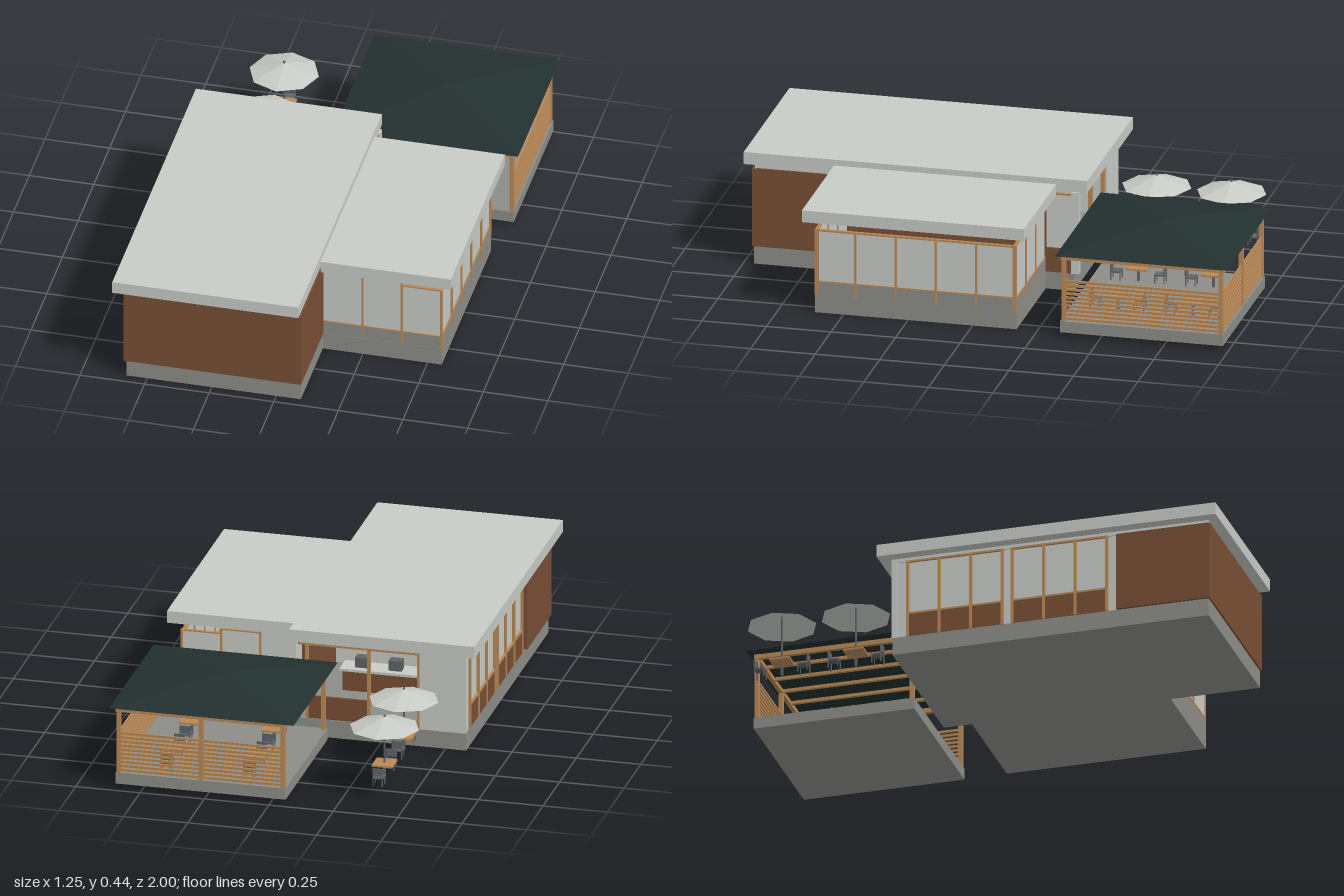
import * as THREE from 'three';

const mat = (name, color) => {
  const m = new THREE.MeshStandardMaterial({ color, flatShading: true, side: THREE.DoubleSide });
  m.name = name;
  return m;
};

export function createModel() {
  const light = mat('pale grey', 0xc7cac5);
  const stone = mat('stone grey', 0x8c8d88);
  const brown = mat('brown cladding', 0x774e34);
  const wood = mat('light wood', 0xb88856);
  const dark = mat('dark roof', 0x22302f);
  const metal = mat('chair grey', 0x5f6466);

  const root = new THREE.Group();
  root.name = 'cafe';
  const group = (name, parent = root) => {
    const g = new THREE.Group();
    g.name = name;
    parent.add(g);
    return g;
  };
  // Box given by its lower and upper limits on each axis
  const box = (parent, name, m, x0, x1, y0, y1, z0, z1) => {
    const b = new THREE.Mesh(new THREE.BoxGeometry(x1 - x0, y1 - y0, z1 - z0), m);
    b.position.set((x0 + x1) / 2, (y0 + y1) / 2, (z0 + z1) / 2);
    b.name = name;
    parent.add(b);
    return b;
  };

  // Main hall: base, flat roof, clad front and side walls
  const hall = group('mainHall');
  box(hall, 'hallBase', stone, -0.58, 0.095, 0, 0.07, -0.28, 0.96);
  box(hall, 'hallRoof', light, -0.625, 0.095, 0.395, 0.443, -0.33, 1);
  box(hall, 'frontCladding', brown, -0.59, 0.097, 0.07, 0.38, 0.95, 0.967);
  box(hall, 'frontWallTop', light, -0.58, 0.09, 0.38, 0.395, 0.93, 0.958);
  box(hall, 'leftCladding', brown, 0.075, 0.097, 0.07, 0.382, -0.17, 0.95);
  box(hall, 'leftWallTop', light, 0.075, 0.09, 0.382, 0.395, -0.27, 0.93);
  box(hall, 'rightCladding', brown, -0.59, -0.57, 0.07, 0.38, 0.6, 0.95);
  box(hall, 'rightWallTop', light, -0.58, -0.57, 0.38, 0.395, -0.27, 0.93);

  // Right wall: two banks of windows over brown panels
  box(hall, 'rightWall', light, -0.575, -0.56, 0.07, 0.38, -0.28, 0.6);
  for (const [z0, z1] of [[-0.22, 0.15], [0.19, 0.56]]) {
    const bank = group('windowBank', hall);
    box(bank, 'lowerPanel', brown, -0.581, -0.574, 0.07, 0.16, z0, z1);
    for (const y of [0.16, 0.375]) box(bank, 'windowRail', wood, -0.584, -0.57, y, y + 0.007, z0, z1);
    for (let i = 0; i <= 3; i++) {
      const z = z0 + (z1 - z0) * i / 3;
      box(bank, 'windowPost', wood, -0.585, -0.57, 0.07, 0.382, z - 0.005, z + 0.005);
    }
  }

  // Rear of the hall: wide opening, pillars, corner window
  box(hall, 'rearPillar', light, -0.58, -0.4, 0.07, 0.395, -0.285, -0.26);
  box(hall, 'cornerPost', light, 0.075, 0.103, 0.07, 0.395, -0.3, -0.27);
  box(hall, 'cornerLowWall', brown, 0.08, 0.1, 0.07, 0.165, -0.268, -0.172);
  box(hall, 'cornerPane', light, 0.085, 0.09, 0.165, 0.38, -0.268, -0.172);
  box(hall, 'cornerRail', wood, 0.083, 0.1, 0.38, 0.387, -0.268, -0.172);
  box(hall, 'rearBeam', light, -0.4, 0.075, 0.375, 0.395, -0.28, -0.26);
  box(hall, 'rearRail', wood, -0.4, 0.075, 0.365, 0.375, -0.278, -0.262);
  for (const x of [-0.395, -0.2, 0.04]) box(hall, 'rearPost', wood, x - 0.006, x + 0.006, 0.07, 0.365, -0.278, -0.262);
  box(hall, 'rearLowWall', brown, -0.2, 0.04, 0.07, 0.16, -0.275, -0.265);

  // Serving counter and back wall inside
  box(hall, 'innerWall', light, -0.56, 0.075, 0.07, 0.395, 0.3, 0.31);
  box(hall, 'counter', brown, -0.42, -0.02, 0.07, 0.15, 0.03, 0.1);
  box(hall, 'counterTop', light, -0.43, -0.01, 0.15, 0.16, 0.02, 0.11);
  for (const x of [-0.35, -0.22, -0.09]) box(hall, 'counterMachine', metal, x - 0.025, x + 0.025, 0.16, 0.2, 0.045, 0.085);

  // Glazed wing with window tops stepping down towards its outer side
  const wing = group('wing');
  box(wing, 'wingBase', stone, 0.095, 0.555, 0, 0.07, -0.17, 0.61);
  box(wing, 'wingRoof', light, 0.095, 0.6, 0.373, 0.42, -0.21, 0.65);
  const xs = [0.097, 0.248, 0.4, 0.553], tops = [0.37, 0.353, 0.335];
  for (const z of [0.603, -0.163]) {
    box(wing, 'lowWall', stone, 0.097, 0.554, 0.07, 0.122, z - 0.006, z + 0.006);
    box(wing, 'sill', wood, 0.097, 0.556, 0.122, 0.127, z - 0.007, z + 0.007);
    tops.forEach((top, i) => {
      box(wing, 'pane', light, xs[i], xs[i + 1], 0.127, top - 0.005, z - 0.003, z + 0.003);
      box(wing, 'topRail', wood, xs[i], xs[i + 1], top - 0.005, top, z - 0.006, z + 0.006);
      box(wing, 'post', wood, xs[i + 1] - 0.004, xs[i + 1] + 0.004, 0.07, top, z - 0.008, z + 0.008);
    });
  }
  box(wing, 'sideLowWall', stone, 0.543, 0.555, 0.07, 0.122, -0.157, 0.597);
  box(wing, 'sideSill', wood, 0.542, 0.557, 0.122, 0.127, -0.157, 0.597);
  box(wing, 'sidePane', light, 0.546, 0.552, 0.127, 0.325, -0.157, 0.597);
  box(wing, 'sideTopRail', wood, 0.543, 0.556, 0.325, 0.332, -0.157, 0.597);
  for (let i = 1; i < 5; i++) {
    const z = 0.61 - 0.156 * i;
    box(wing, 'sidePost', wood, 0.541, 0.559, 0.07, 0.33, z - 0.004, z + 0.004);
  }

  // Pavilion: slab, posts, beams, rafters and hipped roof
  const pav = group('pavilion');
  const px0 = -0.06, px1 = 0.6, pz0 = -0.98, pz1 = -0.35;
  const cx = 0.262, cz = -0.6675;
  box(pav, 'slab', stone, px0, px1, 0.02, 0.065, pz0, pz1);
  const roof = new THREE.ConeGeometry(Math.SQRT1_2, 0.053, 4, 1, true).rotateY(Math.PI / 4);
  const hip = new THREE.Mesh(roof, dark);
  hip.name = 'hippedRoof';
  hip.scale.set(0.716, 1, 0.665);
  hip.position.set(cx, 0.3565, cz);
  pav.add(hip);
  const pillar = (x, z) => box(pav, 'pavilionPost', wood, x - 0.008, x + 0.008, 0.065, 0.325, z - 0.008, z + 0.008);
  for (const x of [px0 + 0.012, px1 - 0.01]) {
    pillar(x, pz0 + 0.01);
    pillar(x, pz1 - 0.012);
    box(pav, 'sideBeam', wood, x - 0.008, x + 0.008, 0.31, 0.328, pz0, pz1);
  }
  pillar(0.27, pz0 + 0.01);
  for (const z of [pz0 + 0.01, pz1 - 0.012]) box(pav, 'crossBeam', wood, px0, px1, 0.31, 0.327, z - 0.008, z + 0.008);
  for (let i = 1; i < 6; i++) {
    const x = px0 + (px1 - px0) * i / 6;
    box(pav, 'rafter', wood, x - 0.006, x + 0.006, 0.314, 0.326, pz0 + 0.01, pz1 - 0.01);
  }
  // Slatted screens on the back and left sides
  for (let i = 0; i < 10; i++) {
    const y = 0.07 + i * 0.0165;
    box(pav, 'backSlat', wood, px0 + 0.015, px1 - 0.015, y, y + 0.0095, pz0 + 0.006, pz0 + 0.013);
    box(pav, 'sideSlat', wood, px1 - 0.013, px1 - 0.006, y, y + 0.0095, pz0 + 0.015, pz1 - 0.018);
  }

  // Small table with two facing chairs
  const seating = (x, z) => {
    const s = group('seating');
    s.position.set(x, 0.065, z);
    box(s, 'tableTop', wood, -0.04, 0.04, 0.052, 0.059, -0.04, 0.04);
    box(s, 'tableLeg', metal, -0.005, 0.005, 0, 0.052, -0.005, 0.005);
    for (const d of [-1, 1]) {
      const c = group('chair', s);
      c.position.z = d * 0.085;
      if (d < 0) c.rotation.y = Math.PI;
      box(c, 'seat', metal, -0.02, 0.02, 0.03, 0.036, -0.02, 0.02);
      box(c, 'chairBack', metal, -0.02, 0.02, 0.042, 0.072, 0.016, 0.021);
      for (const lx of [-0.018, 0.018]) {
        box(c, 'frontLeg', metal, lx - 0.002, lx + 0.002, 0, 0.03, -0.02, -0.016);
        box(c, 'backLeg', metal, lx - 0.002, lx + 0.002, 0, 0.045, 0.016, 0.02);
      }
    }
  };
  for (const x of [0.1, 0.42]) for (const z of [-0.53, -0.82]) seating(x, z);

  // Parasols over the terrace tables
  for (const z of [-0.48, -0.77]) {
    seating(-0.39, z);
    const p = group('parasol');
    p.position.set(-0.39, 0, z);
    const canopy = new THREE.Mesh(new THREE.ConeGeometry(0.134, 0.043, 8, 1, true), light);
    canopy.name = 'canopy';
    canopy.position.y = 0.287;
    const pole = new THREE.Mesh(new THREE.CylinderGeometry(0.004, 0.004, 0.25, 8), metal);
    pole.name = 'pole';
    pole.position.y = 0.19;
    p.add(canopy, pole);
  }
  return root;
}
